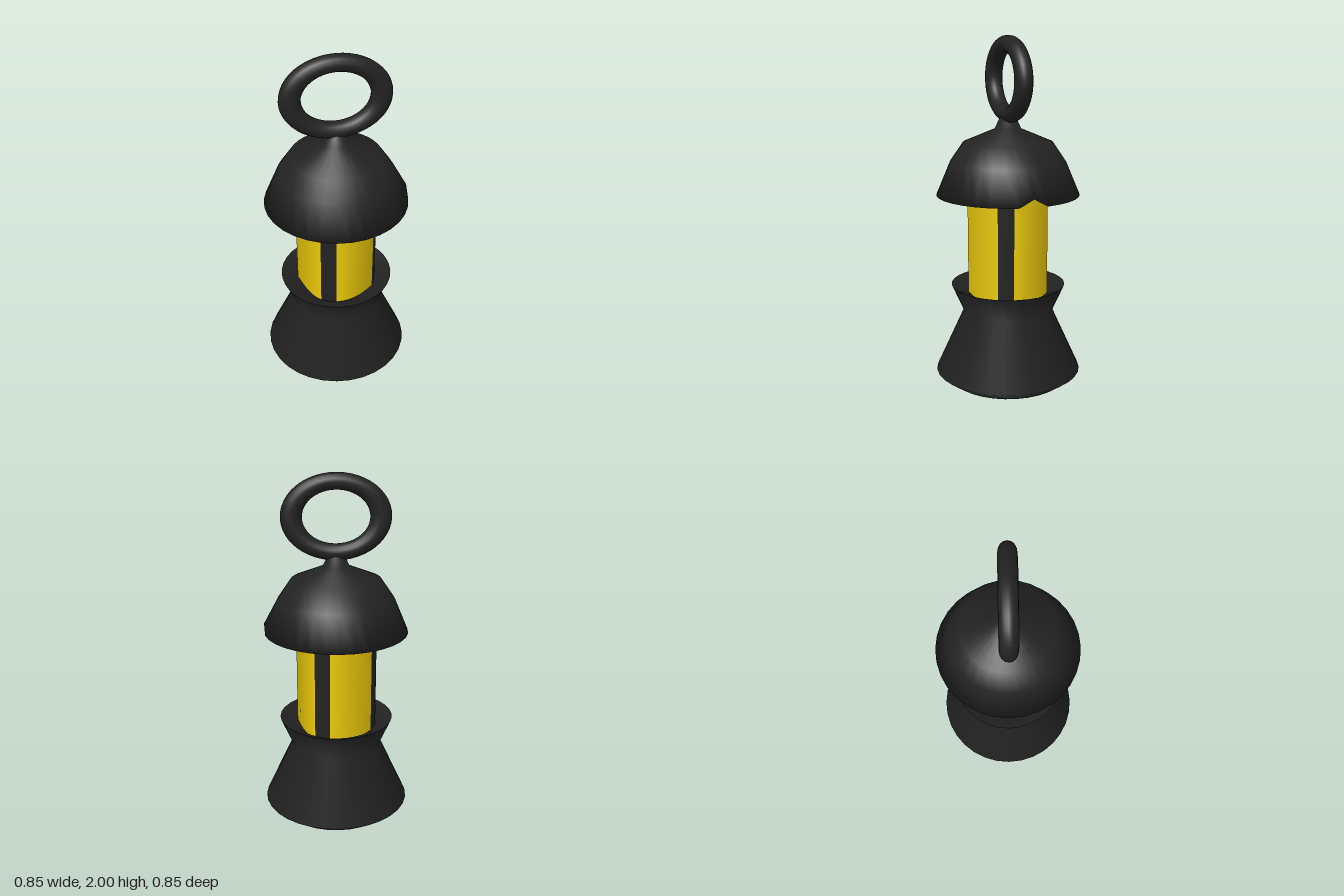
import * as THREE from 'three';

const SIDES = 32;
const rad = THREE.MathUtils.degToRad;

export function createModel() {
  const lantern = new THREE.Group();
  lantern.name = 'lantern';

  const iron = new THREE.MeshStandardMaterial({ color: 0x222222, side: THREE.DoubleSide });
  const glass = new THREE.MeshStandardMaterial({ color: 0xecca08, side: THREE.DoubleSide });

  const add = (name, geometry, material, parent = lantern) => {
    const mesh = new THREE.Mesh(geometry, material);
    mesh.name = name;
    parent.add(mesh);
    return mesh;
  };
  const lathe = (profile) =>
    new THREE.LatheGeometry(profile.map(([r, y]) => new THREE.Vector2(r, y)), SIDES);

  // Waisted base with a dished seat for the lamp
  add('base', lathe([[0, 0], [0.34, 0], [0.424, 0.06], [0.26, 0.42], [0.33, 0.58]]), iron);
  add('baseDish', lathe([[0.33, 0.58], [0.24, 0.54], [0.19, 0.5], [0, 0.45]]), iron);

  // Domed cap with a hollowed underside and a small neck on top
  const capGeometry = lathe([
    [0, 1.28], [0.19, 1.21], [0.24, 1.16], [0.41, 1.11],
    [0.33, 1.3], [0.255, 1.41], [0.075, 1.485], [0.045, 1.55], [0, 1.55],
  ]);
  // Chipped notch in the rim on the +x side
  const pos = capGeometry.attributes.position;
  for (let i = 0; i < pos.count; i++) {
    if (pos.getY(i) < 1.12 && pos.getX(i) > 0.409) pos.setY(i, 1.155);
  }
  add('cap', capGeometry, iron);

  // Lamp: four wide glass panes joined by four narrow corner posts
  const lamp = new THREE.Group();
  lamp.name = 'lamp';
  lantern.add(lamp);
  const bottom = 0.48, top = 1.23, radius = 0.233;
  const face = (start, span) => new THREE.CylinderGeometry(
    radius, radius, top - bottom, 1, 1, true, rad(start), rad(span),
  ).translate(0, (top + bottom) / 2, 0);
  for (let k = 0; k < 4; k++) {
    add('cornerPost', face(90 * k - 33.75, 22.5), iron, lamp);
    add('glassPane', face(90 * k - 11.25, 67.5), glass, lamp);
  }

  // Oval carrying ring
  const ring = add('ring', new THREE.TorusGeometry(0.194, 0.047, 16, 48), iron);
  ring.scale.set(1.27, 1, 1.05);
  ring.position.y = 1.759;

  return lantern;
}
